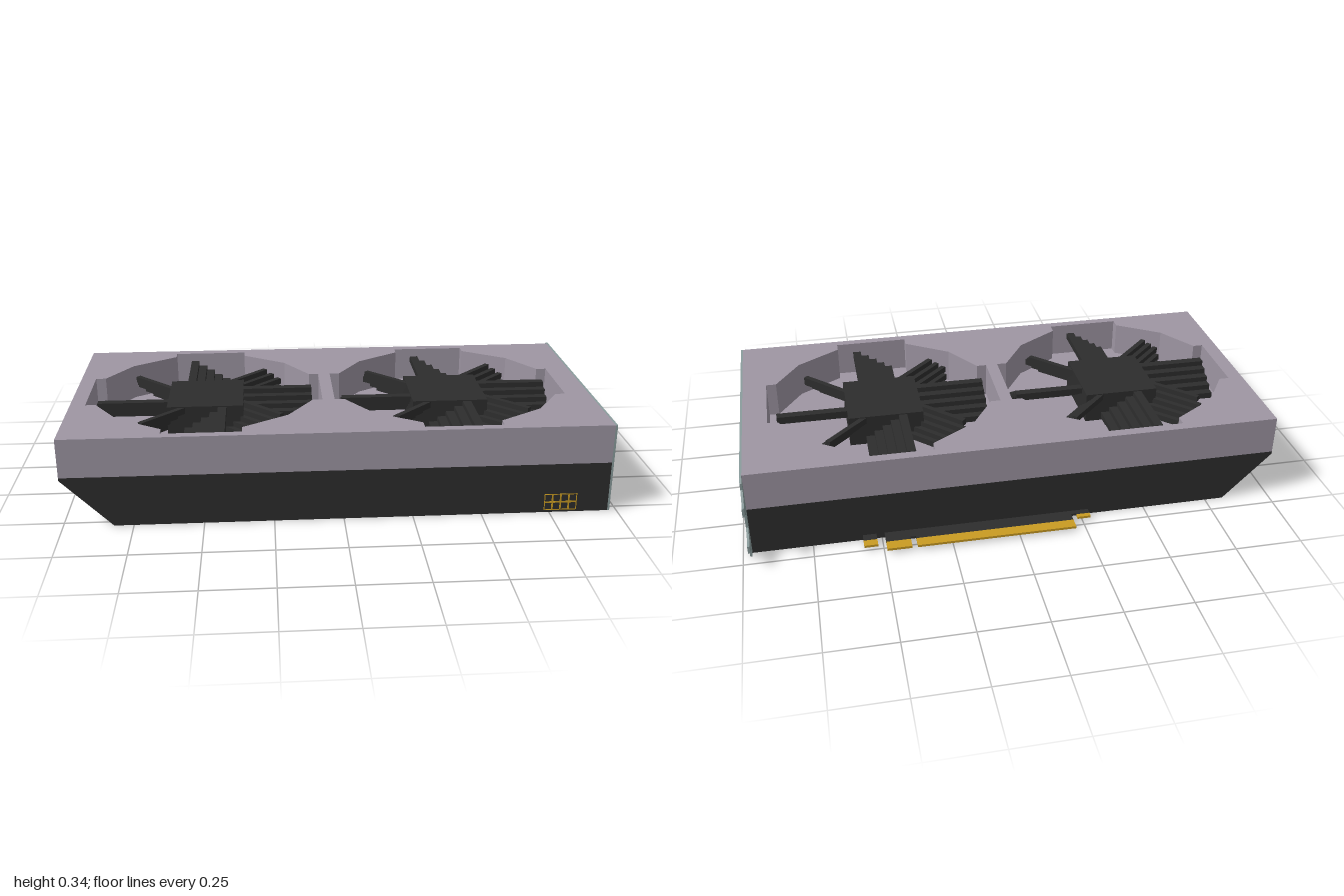
import * as THREE from 'three';

const mat = (name, color, side = THREE.FrontSide) => {
  const m = new THREE.MeshStandardMaterial({ color, side });
  m.name = name;
  return m;
};

export function createModel() {
  const mauve = mat('mauve shroud', 0x9e96a3);
  const dark = mat('dark plastic', 0x2d2d2d);
  const teal = mat('grey teal metal', 0x8a9c9c);
  const gold = mat('gold contacts', 0xc99b22);

  const model = new THREE.Group();
  model.name = 'graphicsCard';

  const add = (parent, name, geometry, material) => {
    const mesh = new THREE.Mesh(geometry, material);
    mesh.name = name;
    parent.add(mesh);
    return mesh;
  };
  // Box given by its limits on each axis
  const box = (parent, name, material, [x0, x1], [y0, y1], [z0, z1]) => {
    const g = new THREE.BoxGeometry(x1 - x0, y1 - y0, z1 - z0);
    g.translate((x0 + x1) / 2, (y0 + y1) / 2, (z0 + z1) / 2);
    return add(parent, name, g, material);
  };
  const points = (list) => list.map(([x, y]) => new THREE.Vector2(x, y));
  const extrude = (outline, holes, depth) => {
    const shape = new THREE.Shape(points(outline));
    shape.holes = holes.map((h) => new THREE.Path(points(h)));
    return new THREE.ExtrudeGeometry(shape, { depth, bevelEnabled: false });
  };
  const rect = (x0, x1, y0, y1) => [[x0, y0], [x1, y0], [x1, y1], [x0, y1]];

  const back = -0.435, front = 0.53;

  // Dark lower housing with a sloped far end
  const housing = extrude(
    [[-0.82, 0], [0.967, 0], [0.967, 0.19], [-1, 0.19], [-1, 0.18]], [], front - back);
  add(model, 'lowerHousing', housing.translate(0, 0, back), dark);

  // Shroud with two stepped fan openings
  const fans = [-0.5, 0.432];
  const cz = 0.05;
  const quarter = [[0.443, 0.148], [0.405, 0.148], [0.31, 0.296], [0.143, 0.405], [0.143, 0.447]];
  const opening = [
    ...quarter,
    ...quarter.map(([x, y]) => [-x, y]).reverse(),
    ...quarter.map(([x, y]) => [-x, -y]),
    ...quarter.map(([x, y]) => [x, -y]).reverse(),
  ];
  const shroud = extrude(
    rect(-1, 0.945, -front, -back),
    fans.map((cx) => opening.map(([x, y]) => [x + cx, y - cz])), 0.135);
  add(model, 'shroud', shroud.rotateX(-Math.PI / 2).translate(0, 0.2, 0), mauve);
  box(model, 'shroudFloor', mauve, [-1, 0.945], [0.19, 0.2], [back, front]);

  // Fans: square hub and eight stepped, pitched blades
  fans.forEach((cx, f) => {
    const fan = new THREE.Group();
    fan.name = f ? 'fanLeft' : 'fanRight';
    fan.position.set(cx, 0, cz);
    model.add(fan);
    box(fan, 'hub', dark, [-0.143, 0.143], [0.2, 0.318], [-0.146, 0.146]);
    for (let i = 0; i < 8; i++) {
      const diagonal = i % 2 === 1;
      const blade = new THREE.Group();
      blade.name = 'blade';
      blade.rotation.y = (i * Math.PI) / 4;
      fan.add(blade);
      const step = diagonal ? 0.02 : 0.032;
      for (let s = -2; s <= 2; s++) {
        const z = s * step;
        const end = diagonal ? 0.405 - Math.abs(z) : 0.41;
        const y = 0.262 - s * 0.02;
        box(blade, 'bladeStrip', dark,
          [0.1, end], [y - 0.012, y + 0.012], [z - step / 2, z + step / 2]);
      }
    }
  });

  // Vent windows shared by the end wall and the bracket; shape x is -z
  const columns = [[0.309, 0.18], [0.169, 0.061], [0.041, -0.087], [-0.095, -0.238], [-0.243, -0.363]];
  const windows = [[0.26, 0.297], [0.192, 0.228]].flatMap(([y0, y1]) =>
    columns.map(([a, b]) => rect(-a, -b, y0, y1)));
  const endWall = extrude(rect(-front, -back, 0.19, 0.335), windows, 0.022);
  add(model, 'shroudEndWall', endWall.rotateY(Math.PI / 2).translate(0.945, 0, 0), mauve);
  box(model, 'ventBacking', teal, [0.945, 0.949], [0.191, 0.31], [-0.38, 0.33]);

  // Metal bracket with two mounting tabs
  const bracket = extrude([
    [-0.53, 0], [0.455, 0], [0.465, 0.01], [0.465, 0.035], [0.498, 0.07], [0.53, 0.07],
    [0.53, 0.1], [0.498, 0.1], [0.465, 0.135], [0.465, 0.19], [0.498, 0.225], [0.53, 0.225],
    [0.53, 0.26], [0.498, 0.26], [0.465, 0.295], [0.465, 0.32], [0.45, 0.335], [-0.53, 0.335],
  ], windows, 0.008);
  add(model, 'bracket', bracket.rotateY(Math.PI / 2).translate(0.967, 0, 0), teal);

  // Display ports and the screwed video socket
  const port = (name, z0, z1, depth) => {
    const c = 0.008;
    const g = extrude([[-z1, 0.028], [-z1 + c, 0.02], [-z0 - c, 0.02], [-z0, 0.028],
      [-z0, 0.043], [-z1, 0.043]], [], depth);
    add(model, name, g.rotateY(Math.PI / 2).translate(0.974, 0, 0), dark);
  };
  port('displayPort', 0.35, 0.405, 0.002);
  port('displayPort', 0.26, 0.315, 0.002);
  box(model, 'videoSocket', dark, [0.97, 1], [0.02, 0.042], [0.06, 0.17]);
  for (const z of [0.188, 0.044]) {
    const g = new THREE.CylinderGeometry(0.007, 0.007, 0.016, 10);
    add(model, 'socketScrew', g.rotateZ(Math.PI / 2).translate(0.979, 0.031, z), dark);
  }

  // Edge connector: dark board strips tipped with gold
  const strips = [
    [-0.21, 0.38, -0.49, -0.533], [0.4, 0.49, -0.49, -0.533],
    [0.52, 0.57, -0.468, -0.5], [-0.28, -0.23, -0.46, -0.478],
  ];
  for (const [x0, x1, zMid, zEnd] of strips) {
    box(model, 'connectorBoard', dark, [x0, x1], [0.012, 0.021], [zMid, back + 0.01]);
    box(model, 'connectorContacts', gold, [x0, x1], [0.012, 0.021], [zEnd, zMid]);
  }
  box(model, 'connectorBoard', dark, [-0.27, 0.49], [0.012, 0.021], [-0.475 + 0.02, back + 0.01]);
  box(model, 'connectorBoard', dark, [0.37, 0.41], [0.012, 0.021], [-0.478, back + 0.01]);

  // Eight-pin power socket: gold grid around dark cells
  const cells = [];
  for (let i = 0; i < 8; i++) {
    const x = 0.73 + (i % 4) * 0.03, y = 0.008 + Math.floor(i / 4) * 0.032;
    cells.push(rect(x + 0.003, x + 0.027, y + 0.003, y + 0.029));
  }
  const grid = extrude(rect(0.73, 0.85, 0.008, 0.072), cells, 0.002);
  add(model, 'powerSocket', grid.translate(0, 0, front - 0.0005), gold);

  return model;
}
